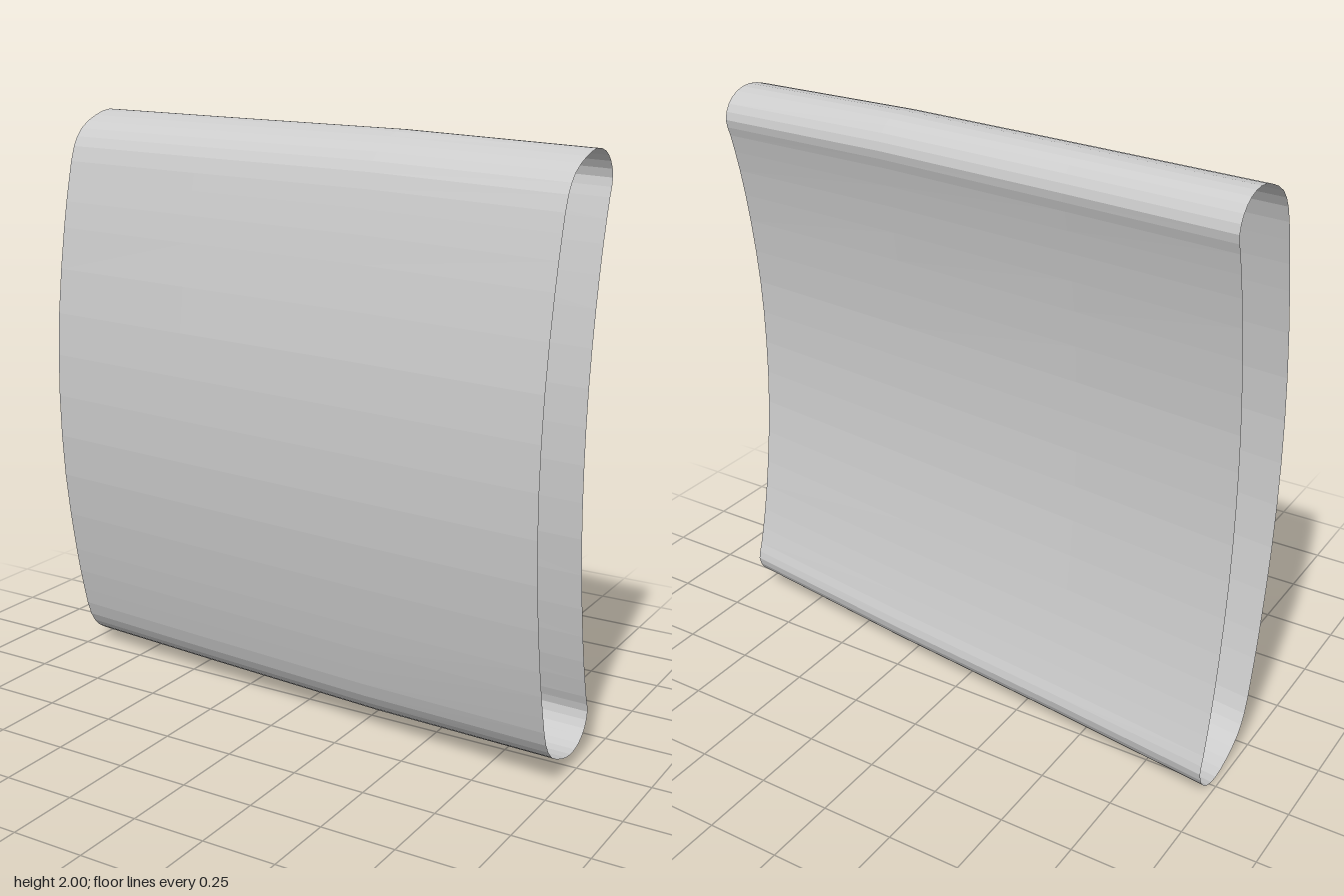
import * as THREE from 'three';

// Upper half of the curved section as [z, height from the middle], front to back
const HALF = [
  [0.235, 0], [0.22, 0.3], [0.175, 0.6], [0.138, 0.77], [0.105, 0.88], [0.06, 0.94],
  [-0.02, 0.982], [-0.1, 1], [-0.165, 0.988], [-0.21, 0.953], [-0.231, 0.9],
  [-0.214, 0.84], [-0.179, 0.7], [-0.143, 0.5], [-0.114, 0.25], [-0.105, 0],
];

// Stations along the sleeve: [x, z shift, half height]
const STATIONS = [[-0.98, -0.107, 1], [-0.4, -0.04, 0.991], [0.3, 0.034, 0.981], [0.98, 0.105, 0.955]];

// Mirrors the half section into a closed loop and smooths it
function sectionLoop(steps) {
  const lower = HALF.slice(1, -1).reverse().map(([z, y]) => [z, -y]);
  const points = [...HALF, ...lower].map(([z, y]) => new THREE.Vector3(0, y, z));
  return new THREE.CatmullRomCurve3(points, true).getPoints(points.length * steps);
}

// Open-ended skin lofted through all stations
function sleeveGeometry() {
  const loop = sectionLoop(2);
  const n = loop.length;
  const positions = [];
  const indices = [];
  STATIONS.forEach(([x, shift, height], i) => {
    loop.forEach((p, j) => {
      positions.push(x, 1 + p.y * height, p.z + shift);
      if (i === 0 || j === 0) return;
      const b = i * n + j - 1;
      const a = b - n;
      indices.push(a, b, b + 1, a, b + 1, a + 1);
    });
  });
  const geometry = new THREE.BufferGeometry();
  geometry.setAttribute('position', new THREE.Float32BufferAttribute(positions, 3));
  geometry.setIndex(indices);
  geometry.computeVertexNormals();
  return geometry;
}

export function createModel() {
  const group = new THREE.Group();
  group.name = 'curvedSleeve';
  const material = new THREE.MeshStandardMaterial({
    color: 0xcccccc, flatShading: true, side: THREE.DoubleSide,
  });
  const skin = new THREE.Mesh(sleeveGeometry(), material);
  skin.name = 'sleeveSkin';
  group.add(skin);
  return group;
}
